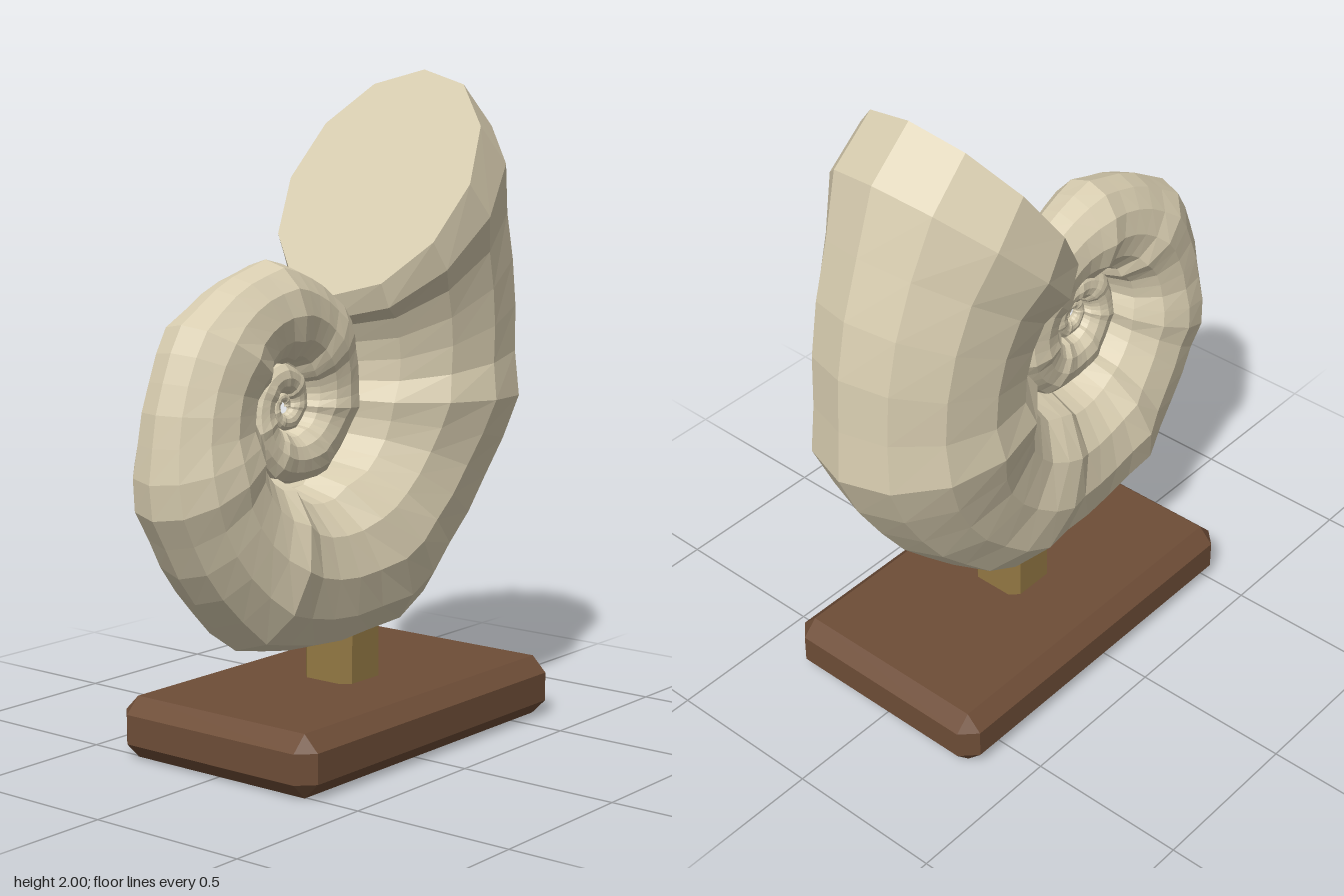
import * as THREE from 'three';
import { ConvexGeometry } from 'three/addons/geometries/ConvexGeometry.js';

const mat = (name, color) => Object.assign(new THREE.MeshStandardMaterial({ color, flatShading: true }), { name });

// Ribbed logarithmic spiral tube, closed at both ends
function spiralShell() {
  const SIDES = 12, STEPS = 120, STEP = THREE.MathUtils.degToRad(9.55);
  const END = THREE.MathUtils.degToRad(55), RIB = THREE.MathUtils.degToRad(-4.5);
  const positions = [], index = [];

  for (let j = 0; j <= STEPS; j++) {
    const back = (STEPS - j) * STEP;
    const angle = END - back;
    const r = 1.177 * Math.exp(-0.185 * back);
    // seven ribs per turn swell the cross-section
    const rib = Math.pow(0.5 + 0.5 * Math.cos(7 * (angle - RIB)), 4);
    const swell = 0.985 + 0.13 * rib;
    for (let i = 0; i < SIDES; i++) {
      const phi = (i / SIDES) * Math.PI * 2;
      const d = r * (0.658 + 0.332 * swell * Math.cos(phi));
      positions.push(d * Math.cos(angle), d * Math.sin(angle), r * 0.28 * swell * Math.sin(phi));
    }
  }
  for (let j = 0; j < STEPS; j++) {
    for (let i = 0; i < SIDES; i++) {
      const k = (i + 1) % SIDES;
      const a = j * SIDES + i, b = j * SIDES + k, c = a + SIDES, d = b + SIDES;
      index.push(a, c, b, b, c, d);
    }
  }
  // flat mouth and innermost tip
  const last = STEPS * SIDES;
  for (let i = 1; i < SIDES - 1; i++) {
    index.push(last, last + i + 1, last + i);
    index.push(0, i, i + 1);
  }

  const geo = new THREE.BufferGeometry();
  geo.setAttribute('position', new THREE.Float32BufferAttribute(positions, 3));
  geo.setIndex(index);
  geo.computeVertexNormals();
  return geo;
}

// Box with every edge and corner chamfered by c
function chamferBox(w, h, d, c) {
  const points = [];
  for (const sx of [-1, 1]) for (const sy of [-1, 1]) for (const sz of [-1, 1]) {
    const x = w / 2, y = h / 2, z = d / 2;
    points.push(
      new THREE.Vector3(sx * x, sy * (y - c), sz * (z - c)),
      new THREE.Vector3(sx * (x - c), sy * y, sz * (z - c)),
      new THREE.Vector3(sx * (x - c), sy * (y - c), sz * z));
  }
  return new ConvexGeometry(points);
}

export function createModel() {
  const group = new THREE.Group();
  group.name = 'shellOnStand';
  const add = (name, geometry, material, x, y) => {
    const mesh = new THREE.Mesh(geometry, material);
    mesh.name = name;
    mesh.position.set(x, y, 0);
    group.add(mesh);
  };

  add('shell', spiralShell(), mat('ivory', 0xd8cdb0), -0.22, 1.04);
  add('post', chamferBox(0.18, 0.28, 0.18, 0.026), mat('brass', 0x947944), 0.055, 0.26);
  add('base', chamferBox(1.22, 0.185, 0.73, 0.048), mat('walnut', 0x6e4d37), 0.055, 0.0925);
  return group;
}
